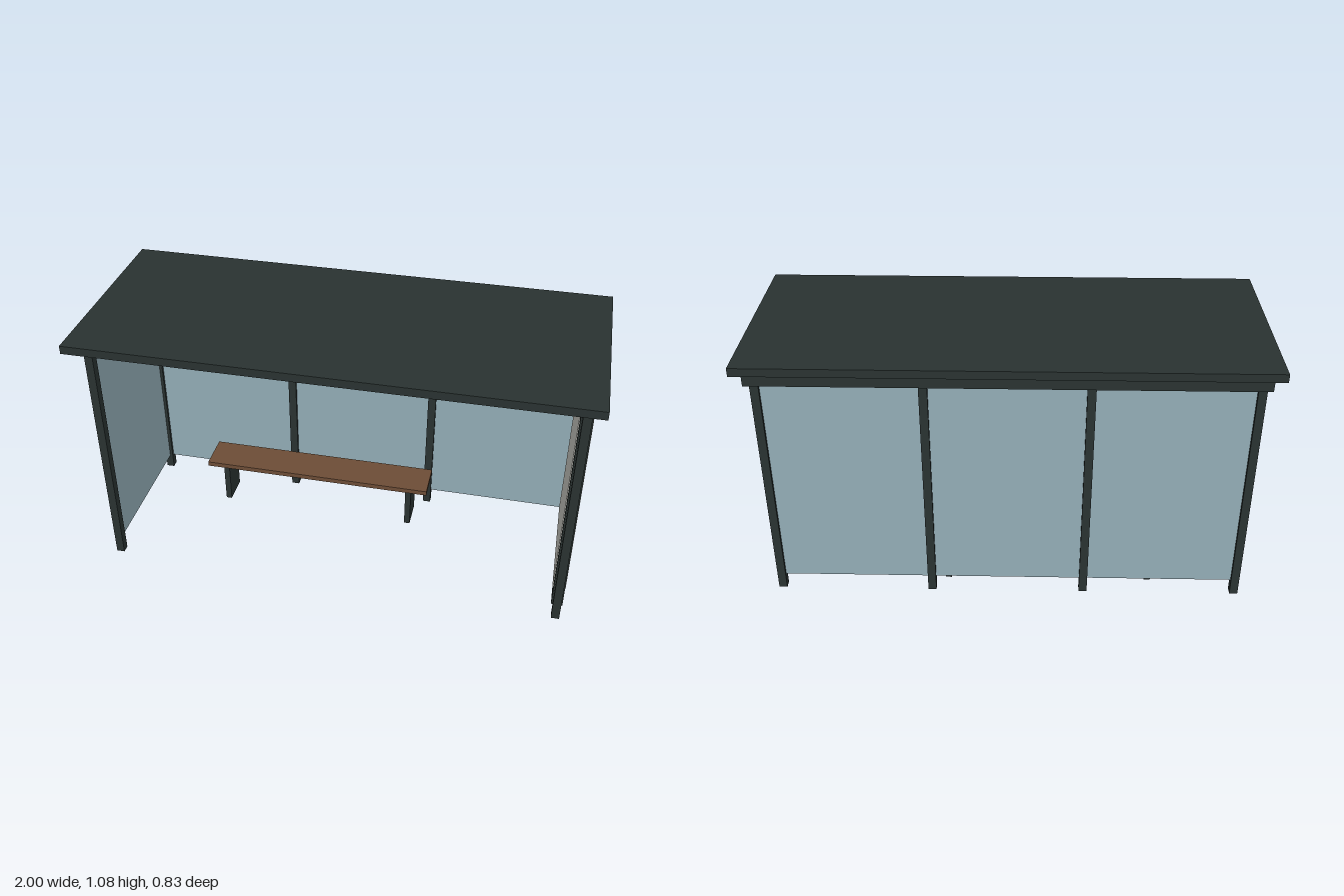
import * as THREE from 'three';

export function createModel() {
  const group = new THREE.Group();
  const material = (name, color) => {
    const m = new THREE.MeshStandardMaterial({ color });
    m.name = name;
    return m;
  };
  const metal = material('dark metal', 0x2a3332);
  const glass = material('blue grey glass', 0x94aeb8);
  const paper = material('poster paper', 0xe6e6de);
  const wood = material('brown wood', 0x6f4e37);

  // Box given by its lower and upper limits on each axis
  const box = (name, mat, [x0, x1], [y0, y1], [z0, z1]) => {
    const mesh = new THREE.Mesh(new THREE.BoxGeometry(x1 - x0, y1 - y0, z1 - z0), mat);
    mesh.position.set((x0 + x1) / 2, (y0 + y1) / 2, (z0 + z1) / 2);
    mesh.name = name;
    group.add(mesh);
  };
  const around = (centre, size) => [centre - size / 2, centre + size / 2];

  // Roof slab with a smaller deck below, set towards the back
  box('roof', metal, [-1, 1], [1.05, 1.0833], [-0.4167, 0.4167]);
  box('roofDeck', metal, [-0.9583, 0.9583], [1.0, 1.05], [-0.3958, 0.3125]);

  // Four back posts and two front posts
  const postX = [-0.9375, -0.3125, 0.3125, 0.9375];
  const postZ = 0.3125;
  for (const x of postX) box('backPost', metal, around(x, 0.0333), [0, 1], around(-postZ, 0.0333));
  for (const x of [postX[0], postX[3]]) box('frontPost', metal, around(x, 0.0333), [0, 1], around(postZ, 0.0333));

  // Back panes between the posts, and a pane at each end
  const glassY = [0.0625, 0.9792];
  for (let i = 0; i < 3; i++) {
    box('backGlass', glass, [postX[i] + 0.0167, postX[i + 1] - 0.0167], glassY, around(-postZ, 0.0083));
  }
  for (const x of [postX[0], postX[3]]) box('sideGlass', glass, around(x, 0.0083), glassY, [-0.2958, 0.2958]);

  // Poster case around the pane at one end, with a poster on each face
  box('posterCase', metal, around(postX[3], 0.046), [0.0417, 1.0], [-0.2917, 0.2917]);
  for (const side of [-1, 1]) {
    box('poster', paper, around(postX[3] + side * 0.0245, 0.004), [0.1042, 0.9375], [-0.2604, 0.2604]);
  }

  // Bench
  box('benchSeat', wood, [-0.6667, 0.3333], [0.1875, 0.2083], [-0.2667, -0.1065]);
  for (const x of [-0.5865, 0.25]) box('benchLeg', metal, around(x, 0.025), [0, 0.1875], [-0.249, -0.124]);

  return group;
}
